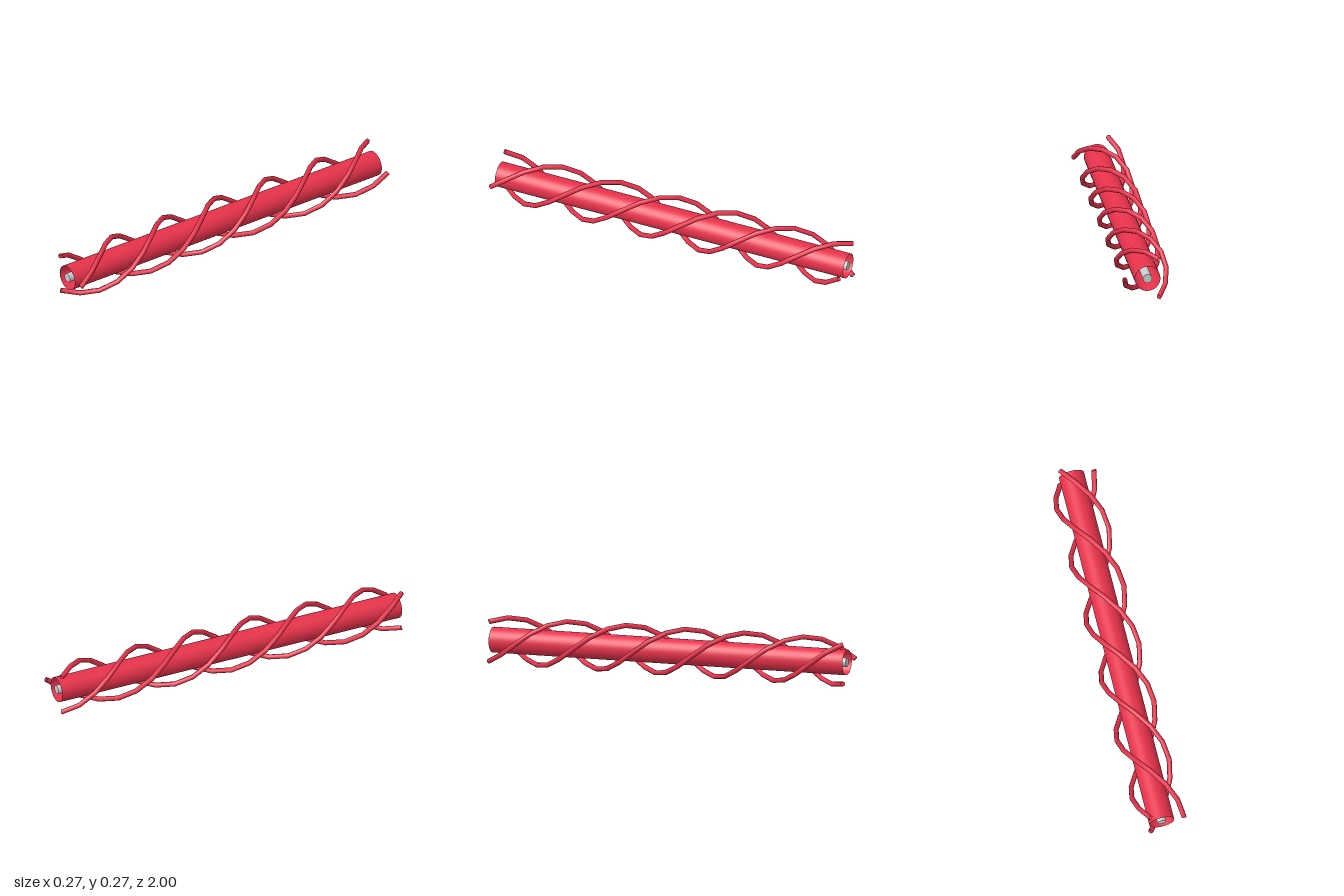
import * as THREE from 'three';

const CENTRE_Y = 0.135;
const LENGTH = 1.98;
const STRANDS = 3;
const TURNS = 2;
const HELIX_RADIUS = 0.12;
const STRAND_RADIUS = 0.0133;

// Helix running from back to front around the z axis
class Helix extends THREE.Curve {
  constructor(phase) {
    super();
    this.phase = phase;
  }
  getPoint(t, target = new THREE.Vector3()) {
    const a = this.phase - t * TURNS * Math.PI * 2;
    return target.set(HELIX_RADIUS * Math.cos(a), HELIX_RADIUS * Math.sin(a), (t - 0.5) * LENGTH);
  }
}

export function createModel() {
  const model = new THREE.Group();
  model.name = 'spiralBeam';
  const red = new THREE.MeshStandardMaterial({ color: 0xe6324b, side: THREE.DoubleSide });
  const grey = new THREE.MeshStandardMaterial({ color: 0xcccccc });

  const add = (name, geometry, material) => {
    const mesh = new THREE.Mesh(geometry, material);
    mesh.name = name;
    mesh.position.y = CENTRE_Y;
    model.add(mesh);
  };

  // Solid inner rod
  add('core', new THREE.CylinderGeometry(0.0237, 0.0237, LENGTH, 32).rotateX(Math.PI / 2), grey);

  // Thin sleeve, open at both ends
  add('sleeve', new THREE.CylinderGeometry(0.067, 0.067, LENGTH, 32, 1, true).rotateX(Math.PI / 2), red);

  // Strands winding around the sleeve
  for (let i = 0; i < STRANDS; i++) {
    const path = new Helix((i / STRANDS) * Math.PI * 2);
    add(`strand${i + 1}`, new THREE.TubeGeometry(path, 24, STRAND_RADIUS, 8, false), red);
  }
  return model;
}
